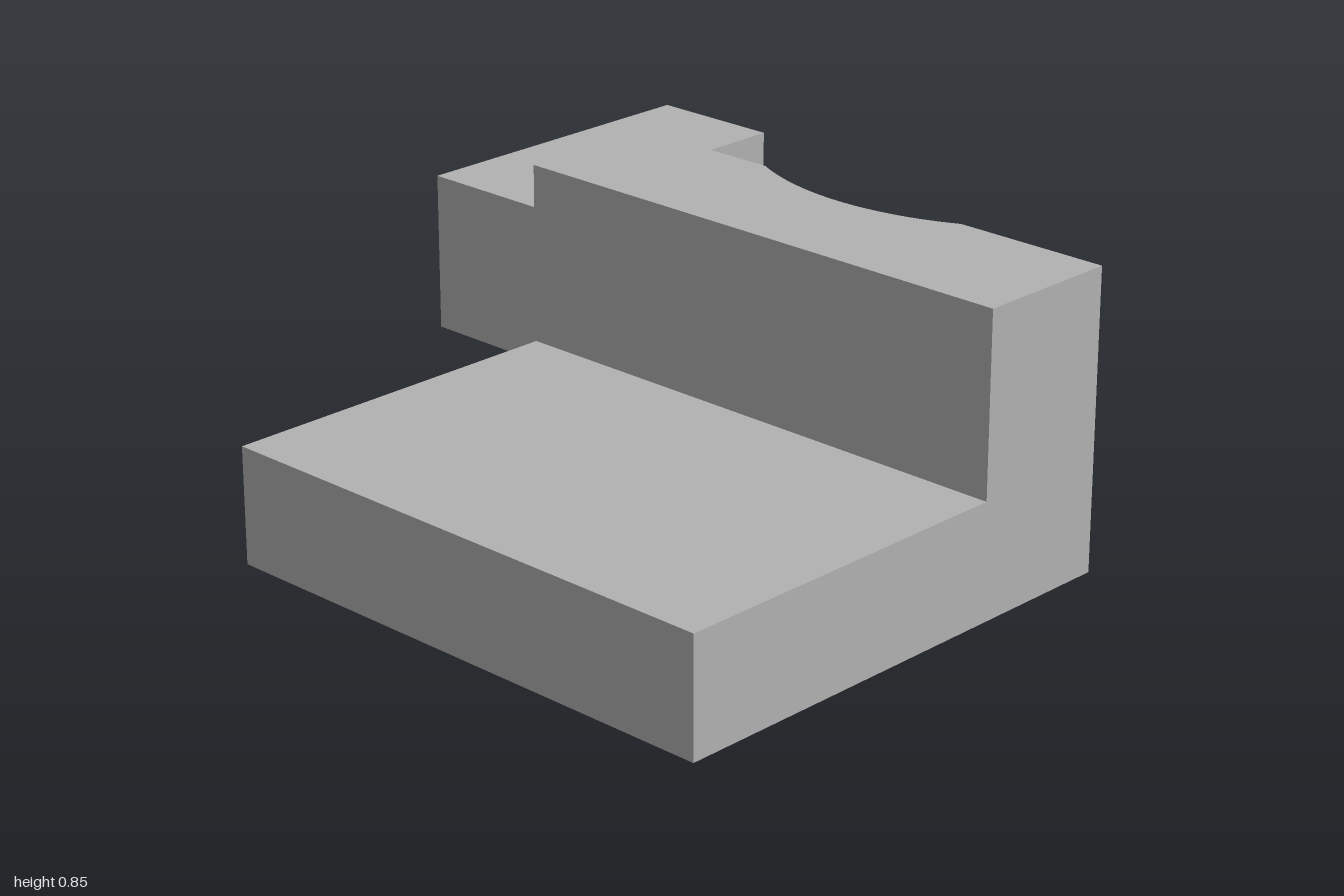
import * as THREE from 'three';

export function createModel() {
  const group = new THREE.Group();
  const grey = new THREE.MeshStandardMaterial({ color: 0xb2b2b2 });
  grey.name = 'plain grey';

  function add(name, geometry) {
    const mesh = new THREE.Mesh(geometry, grey);
    mesh.name = name;
    group.add(mesh);
  }

  // Box given by its lower and upper limits on each axis
  function block(name, [x0, x1], [y0, y1], [z0, z1]) {
    const geometry = new THREE.BoxGeometry(x1 - x0, y1 - y0, z1 - z0);
    geometry.translate((x0 + x1) / 2, (y0 + y1) / 2, (z0 + z1) / 2);
    add(name, geometry);
  }

  const left = 1, right = -0.61, wallFront = -0.065, wallBack = -0.495;

  // Low slab in front and side arm reaching backwards
  block('baseSlab', [right, left], [0, 0.333], [wallFront, 0.988]);
  block('sideArm', [-1, right], [0.273, 0.724], [-0.988, wallFront]);

  // Upright wall, drawn in plan (shape y = -z), with a shallow arc cut in its back
  const arcX = 0.195, halfChord = 0.345, sag = 0.083;
  const radius = (halfChord ** 2 + sag ** 2) / (2 * sag);
  const half = Math.asin(halfChord / radius);
  const plan = new THREE.Shape();
  plan.moveTo(right, -wallFront);
  plan.lineTo(left, -wallFront);
  plan.lineTo(left, -wallBack);
  plan.lineTo(arcX + halfChord, -wallBack);
  plan.absarc(arcX, -wallBack - sag + radius, radius, -Math.PI / 2 + half, -Math.PI / 2 - half, true);
  plan.lineTo(right, -wallBack);
  plan.closePath();
  const wall = new THREE.ExtrudeGeometry(plan, { depth: 0.845, bevelEnabled: false, curveSegments: 32 });
  wall.rotateX(-Math.PI / 2);
  add('backWall', wall);

  return group;
}
